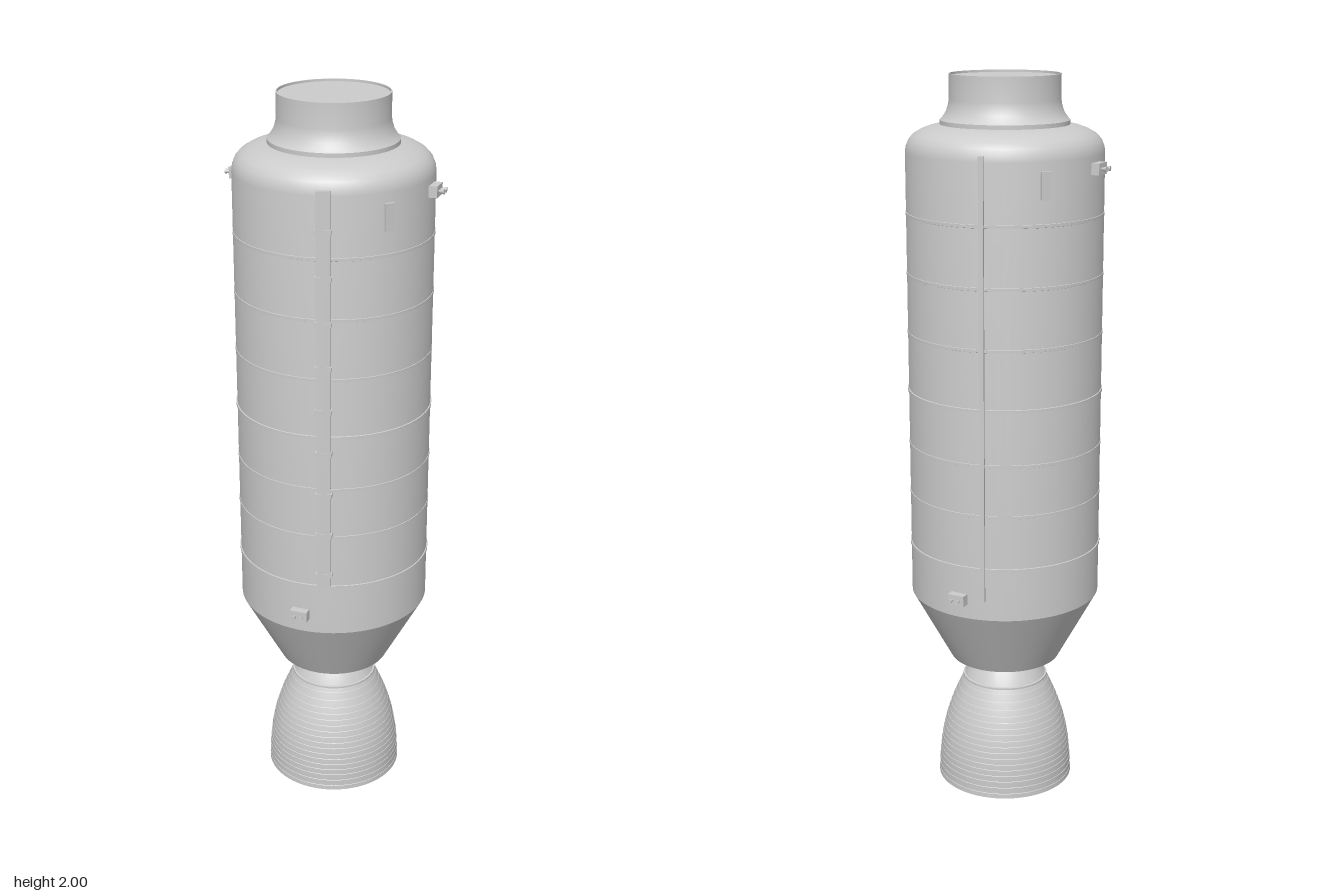
import * as THREE from 'three';
import { toCreasedNormals } from 'three/addons/utils/BufferGeometryUtils.js';

export function createModel() {
  const model = new THREE.Group();
  const grey = new THREE.MeshStandardMaterial({ color: 0xcccccc });
  grey.name = 'hull grey';

  const add = (name, geometry, parent = model) => {
    const mesh = new THREE.Mesh(geometry, grey);
    mesh.name = name;
    parent.add(mesh);
    return mesh;
  };
  const lathe = (profile, segments = 64, crease = 0.4) => toCreasedNormals(
    new THREE.LatheGeometry(profile.map(([r, y]) => new THREE.Vector2(r, y)), segments), crease);
  // A group turned so that its local +z points outwards through (x, z)
  const mount = (name, x, y, z) => {
    const group = new THREE.Group();
    group.name = name;
    group.position.y = y;
    group.rotation.y = Math.atan2(x, z);
    model.add(group);
    return group;
  };

  // Hull: open tapered skirt, long tank and rounded shoulder
  const R = 0.263;
  add('hull', lathe([
    [0.155, 0.375], [R, 0.575], [R, 1.8], [0.261, 1.815], [0.254, 1.832],
    [0.241, 1.846], [0.222, 1.857], [0.2, 1.865], [0.178, 1.87], [0.171, 1.871],
  ]));

  // Docking collar with flared foot, thin lip and recessed cover
  add('dockingCollar', lathe([
    [0.171, 1.868], [0.171, 1.882], [0.165, 1.888], [0.155, 1.903], [0.149, 1.922],
    [0.147, 1.935], [0.147, 2], [0.144, 2], [0.144, 1.994], [0, 1.994],
  ]));

  // Thin seam bands around the tank
  for (const y of [0.72, 0.87, 1.01, 1.16, 1.32, 1.48, 1.64]) {
    const r = y === 0.72 || y === 1.16 ? 0.266 : 0.2645;
    add('seamBand', lathe([[R - 0.001, y - 0.005], [r, y - 0.004], [r, y + 0.004], [R - 0.001, y + 0.005]]));
  }

  // Engine bell: ribbed outer wall, smooth inner wall
  const bellCurve = new THREE.SplineCurve([
    [0.192, 0], [0.19, 0.05], [0.185, 0.1], [0.176, 0.15], [0.162, 0.2], [0.143, 0.25], [0.118, 0.305],
  ].map(([r, y]) => new THREE.Vector2(r, y)));
  const curvePoints = bellCurve.getPoints(18);
  const outer = [];
  curvePoints.forEach((p, i) => {
    outer.push([p.x, p.y]);
    if (i > 0 && i < curvePoints.length - 1) outer.push([p.x - 0.0012, p.y + 0.001]);
  });
  const neck = [[0.118, 0.308], [0.115, 0.309], [0.098, 0.34], [0.075, 0.375], [0.055, 0.405], [0.036, 0.43]];
  const inner = [[0.034, 0.43], [0.073, 0.373], [0.114, 0.304]];
  curvePoints.slice(0, -1).reverse().forEach((p) => inner.push([p.x - 0.003, p.y]));
  add('engineBell', lathe([...outer, ...neck, ...inner, [0.192, 0]], 64, 0.3));
  add('bellJoint', lathe([[0.117, 0.302], [0.12, 0.303], [0.12, 0.308], [0.115, 0.309]]));
  add('engineMount', lathe([[0, 0.425], [0.036, 0.425], [0.065, 0.44], [0.065, 0.465], [0, 0.465]], 32));

  // Front cable duct with clamps
  const duct = mount('frontCableDuct', -0.025, 0, 0.265);
  add('duct', new THREE.BoxGeometry(0.036, 1.095, 0.02), duct).position.set(0, 1.2675, 0.265);
  for (let i = 0; i < 9; i++) {
    add('ductClamp', new THREE.BoxGeometry(0.044, 0.012, 0.021), duct).position.set(0, 0.76 + i * 0.119, 0.266);
  }

  // Narrow rear duct
  const rear = mount('rearCableDuct', 0.022, 0, -0.265);
  add('duct', new THREE.BoxGeometry(0.013, 1.185, 0.014), rear).position.set(0, 1.2225, 0.264);

  // Sensor plates standing just off the hull, on opposite sides
  for (const s of [1, -1]) {
    const plate = mount('sensorPlate', 0.1375 * s, 1.742, 0.239 * s);
    add('plate', new THREE.BoxGeometry(0.024, 0.07, 0.008), plate).position.z = 0.275;
  }

  // Thruster blocks: an upper pair on the sides, a lower pair front and back
  for (const [x, y, z] of [[0.26, 1.77, 0.093], [-0.26, 1.77, -0.093], [-0.093, 0.63, 0.26], [0.093, 0.63, -0.26]]) {
    const block = mount('thrusterBlock', x, y, z);
    add('housing', new THREE.BoxGeometry(0.048, 0.03, 0.026), block).position.z = 0.271;
    for (const s of [1, -1]) {
      const cone = add('thrusterNozzle', new THREE.CylinderGeometry(0.007, 0.003, 0.017, 16), block);
      cone.rotation.x = Math.PI / 2;
      cone.rotation.z = -s * 0.15;
      cone.position.set(s * 0.01, 0, 0.291);
    }
  }
  return model;
}
